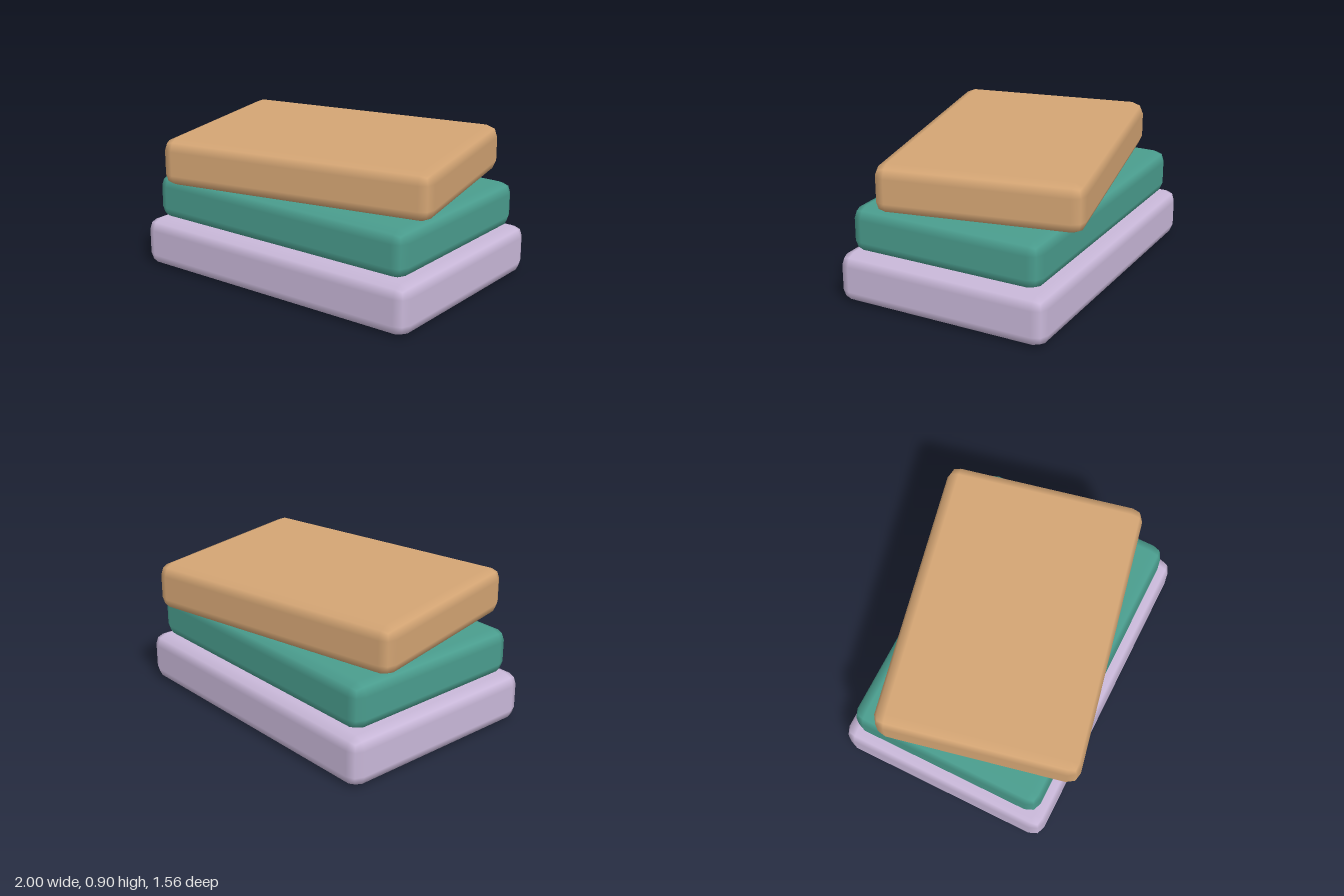
import * as THREE from 'three';
import { RoundedBoxGeometry } from 'three/addons/geometries/RoundedBoxGeometry.js';

function material(name, color) {
  const m = new THREE.MeshStandardMaterial({ color });
  m.name = name;
  return m;
}

export function createModel() {
  const group = new THREE.Group();
  group.name = 'stackedSlabs';

  // Slabs from the ground up: size, turn about y and colour
  const slabs = [
    { name: 'bottomSlab', w: 2, h: 0.31, d: 1.375, turn: 0, mat: material('lavender', 0xc9b8d9) },
    { name: 'middleSlab', w: 1.875, h: 0.29, d: 1.25, turn: 0, mat: material('teal', 0x4a9d8e) },
    { name: 'topSlab', w: 1.75, h: 0.3, d: 1.25, turn: 0.21, mat: material('tan', 0xd4a574) },
  ];

  let y = 0;
  for (const s of slabs) {
    const mesh = new THREE.Mesh(new RoundedBoxGeometry(s.w, s.h, s.d, 1, 0.075), s.mat);
    mesh.name = s.name;
    mesh.position.y = y + s.h / 2;
    mesh.rotation.y = s.turn;
    group.add(mesh);
    y += s.h;
  }
  return group;
}
